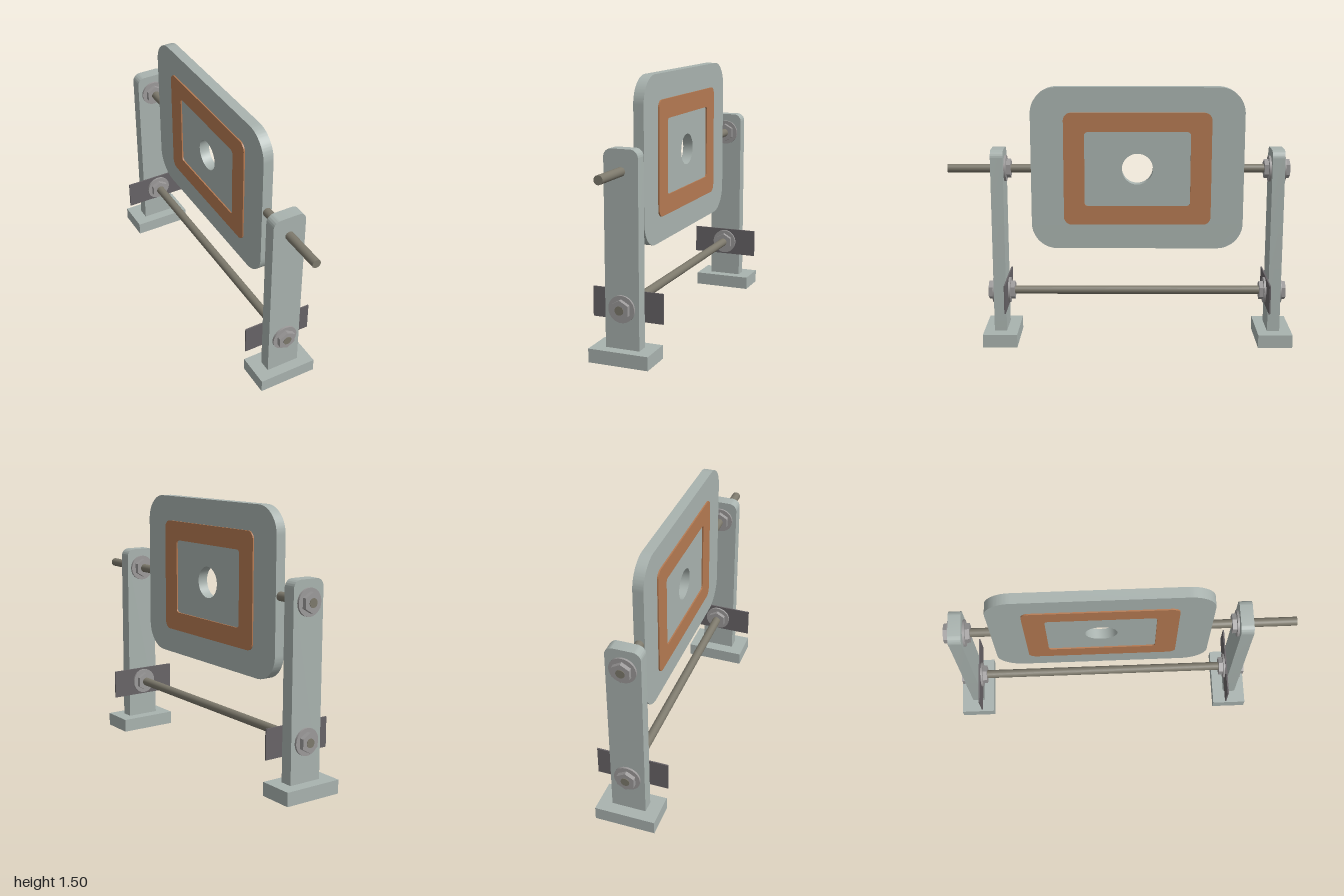
import * as THREE from 'three';
import { toCreasedNormals } from 'three/addons/utils/BufferGeometryUtils.js';

const mat = (color) => new THREE.MeshStandardMaterial({ color });

// Rounded rectangle centred on (cx, cy); rb is the bottom corner radius
function roundedRect(Type, cx, cy, w, h, r, rb = r) {
  const s = new Type();
  const x0 = cx - w / 2, x1 = cx + w / 2, y0 = cy - h / 2, y1 = cy + h / 2;
  s.moveTo(x0 + rb, y0);
  s.lineTo(x1 - rb, y0);
  if (rb) s.absarc(x1 - rb, y0 + rb, rb, -Math.PI / 2, 0);
  s.lineTo(x1, y1 - r);
  s.absarc(x1 - r, y1 - r, r, 0, Math.PI / 2);
  s.lineTo(x0 + r, y1);
  s.absarc(x0 + r, y1 - r, r, Math.PI / 2, Math.PI);
  s.lineTo(x0, y0 + rb);
  if (rb) s.absarc(x0 + rb, y0 + rb, rb, Math.PI, Math.PI * 1.5);
  return s;
}

// Extrusion centred on its own thickness
function slab(shape, depth) {
  const g = new THREE.ExtrudeGeometry(shape, { depth, bevelEnabled: false, curveSegments: 16 });
  g.translate(0, 0, -depth / 2);
  return toCreasedNormals(g, 0.6);
}

export function createModel() {
  const model = new THREE.Group();
  const body = mat(0xa9b3af), steel = mat(0x9c9a9a), rodMat = mat(0x7d796c);
  const dark = mat(0x686467), copper = mat(0xb57a52);
  const TOP = 1.033, LOW = 0.3;

  function add(name, geometry, material, x, y, z, parent = model) {
    const m = new THREE.Mesh(geometry, material);
    m.name = name;
    m.position.set(x, y, z);
    parent.add(m);
    return m;
  }

  // Cylinder lying along z between two depths
  function rod(name, y, z0, z1, r, material, sides = 32, parent = model) {
    let g = new THREE.CylinderGeometry(r, r, Math.abs(z1 - z0), sides);
    g.rotateX(Math.PI / 2);
    if (sides === 6) g = toCreasedNormals(g, 0.3);
    return add(name, g, material, 0, y, (z0 + z1) / 2, parent);
  }

  // Washer and hex nut stacked outward from a surface at z
  function fastener(name, y, z, dir) {
    const g = new THREE.Group();
    g.name = name;
    rod('washer', y, z, z + dir * 0.012, 0.075, steel, 40, g);
    rod('nut', y, z + dir * 0.012, z + dir * 0.037, 0.056, steel, 6, g);
    model.add(g);
  }

  // Two stands: foot, round-topped post and dark cross plate on the inner side
  const postGeo = slab(roundedRect(THREE.Shape, 0, 0.613, 0.196, 1.076, 0.045, 0), 0.072);
  for (const [side, z, footZ, inward] of [['front', 0.708, 0.705, -1], ['back', -0.896, -0.9, 1]]) {
    add(side + 'Foot', new THREE.BoxGeometry(0.346, 0.077, 0.2), body, 0, 0.0385, footZ);
    add(side + 'Post', postGeo, body, 0, 0, z);
    const inner = z + inward * 0.036, outer = z - inward * 0.036;
    add(side + 'CrossPlate', new THREE.BoxGeometry(0.41, 0.168, 0.008), dark,
      0, LOW, inner + inward * 0.004);
    fastener(side + 'LowerInnerNut', LOW, inner + inward * 0.008, inward);
    fastener(side + 'LowerOuterNut', LOW, outer, -inward);
    fastener(side + 'UpperInnerNut', TOP, inner, inward);
    if (side === 'back') fastener('backUpperOuterNut', TOP, outer, -inward);
  }

  // Rods: one full-length tie below, two stubs holding the panel
  rod('lowerRod', LOW, -0.972, 0.784, 0.025, rodMat);
  rod('frontUpperRod', TOP, 0.5, 1.0, 0.025, rodMat);
  rod('backUpperRod', TOP, -0.972, -0.69, 0.025, rodMat);

  // Hanging panel with a round hole, facing sideways
  const panel = roundedRect(THREE.Shape, 0, 0, 1.226, 0.94, 0.15);
  const hole = new THREE.Path();
  hole.absarc(0, 0, 0.09, 0, Math.PI * 2, true);
  panel.holes.push(hole);
  const panelMesh = add('panel', slab(panel, 0.06), body, 0, TOP, -0.094);
  panelMesh.rotation.y = -Math.PI / 2;

  // Copper frame on each face
  const frame = roundedRect(THREE.Shape, 0, 0, 0.85, 0.652, 0.045);
  frame.holes.push(roundedRect(THREE.Path, 0, 0, 0.61, 0.432, 0.02));
  const frameGeo = slab(frame, 0.008);
  for (const s of [-1, 1]) {
    const f = add(s > 0 ? 'leftFrame' : 'rightFrame', frameGeo, copper, s * 0.034, TOP, -0.094);
    f.rotation.y = -Math.PI / 2;
  }
  return model;
}
